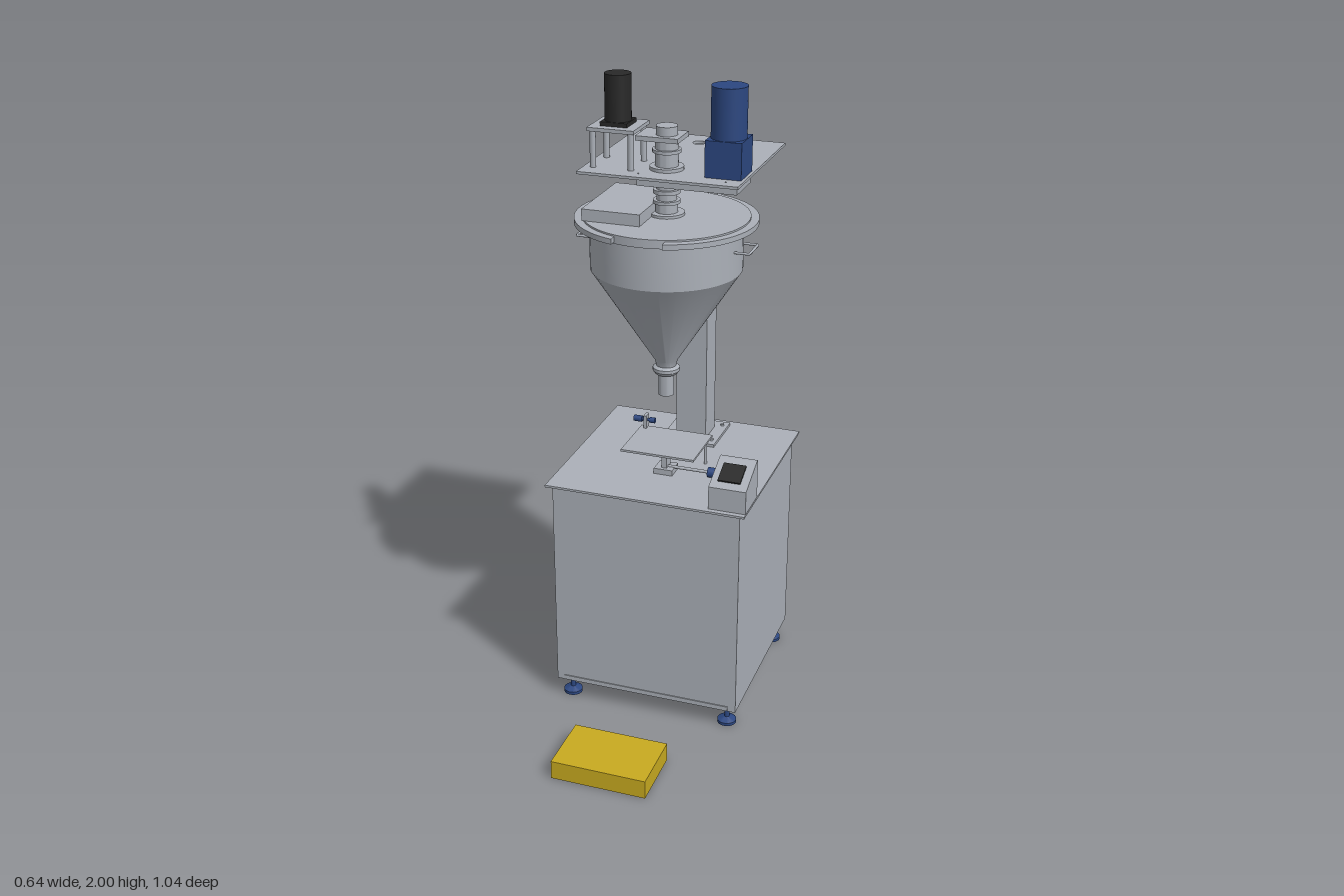
import * as THREE from 'three';
import { toCreasedNormals } from 'three/addons/utils/BufferGeometryUtils.js';

export function createModel() {
  const root = new THREE.Group();
  root.name = 'fillingMachine';
  const mat = (name, color) => {
    const m = new THREE.MeshStandardMaterial({ color });
    m.name = name;
    return m;
  };
  const steel = mat('steel', 0xabb0b8);
  const blue = mat('blue', 0x2c4780);
  const black = mat('black', 0x282828);
  const yellow = mat('yellow', 0xc8aa20);

  const add = (name, geo, m, x = 0, y = 0, z = 0) => {
    const mesh = new THREE.Mesh(geo, m);
    mesh.name = name;
    mesh.position.set(x, y, z);
    root.add(mesh);
    return mesh;
  };
  // Box from its min and max on each axis
  const box = (name, m, x0, x1, y0, y1, z0, z1) =>
    add(name, new THREE.BoxGeometry(x1 - x0, y1 - y0, z1 - z0), m, (x0 + x1) / 2, (y0 + y1) / 2, (z0 + z1) / 2);
  // Upright cylinder from y0 to y1
  const cyl = (name, m, x, z, r, y0, y1, seg = 32) =>
    add(name, new THREE.CylinderGeometry(r, r, y1 - y0, seg), m, x, (y0 + y1) / 2, z);
  // Cylinder along x
  const rodX = (name, m, x0, x1, y, z, r) => {
    const c = add(name, new THREE.CylinderGeometry(r, r, x1 - x0, 20), m, (x0 + x1) / 2, y, z);
    c.rotation.z = Math.PI / 2;
    return c;
  };
  const lathe = (name, m, pts, x, z) => add(name, toCreasedNormals(
    new THREE.LatheGeometry(pts.map(p => new THREE.Vector2(...p)), 56), 0.4), m, x, 0, z);

  // Cabinet with its worktop and front folds
  box('cabinet', steel, -0.3, 0.3, 0.063, 0.76, -0.498, 0.1);
  box('worktop', steel, -0.318, 0.318, 0.76, 0.767, -0.52, 0.117);
  box('doorTopFold', steel, -0.275, 0.275, 0.733, 0.76, 0.1, 0.103);
  box('doorBottomFold', steel, -0.275, 0.275, 0.065, 0.08, 0.1, 0.103);

  // Levelling feet
  for (const x of [-0.262, 0.262]) for (const z of [0.062, -0.458]) {
    lathe('foot', blue, [[0, 0], [0.03, 0], [0.03, 0.01], [0.012, 0.018], [0.008, 0.02], [0.008, 0.054],
      [0.016, 0.054], [0.016, 0.063], [0, 0.063]], x, z);
  }

  // Foot pedal
  box('pedal', yellow, -0.15, 0.15, 0, 0.06, 0.32, 0.52);

  // Column with bolted flanges
  box('column', steel, -0.05, 0.05, 0.767, 1.727, -0.445, -0.348);
  box('columnBase', steel, -0.09, 0.09, 0.767, 0.776, -0.49, -0.31);
  box('columnTopFlange', steel, -0.09, 0.09, 1.716, 1.727, -0.49, -0.31);
  for (const x of [-0.06, 0.06]) for (const z of [-0.462, -0.342]) {
    cyl('baseBolt', steel, x * 1.2, z, 0.006, 0.776, 0.782, 12);
  }

  // Upper plate with drilled holes
  const plate = new THREE.Shape([[-0.236, -0.013], [0.247, -0.013], [0.247, 0.486], [-0.236, 0.486]]
    .map(p => new THREE.Vector2(...p)));
  const hole = (x, z, r) => plate.holes.push(new THREE.Path().absarc(x, -z, r, 0, Math.PI * 2, true));
  hole(0, -0.403, 0.02);
  for (const x of [-0.06, 0.06]) for (const z of [-0.462, -0.342]) hole(x, z, 0.006);
  for (const x of [-0.06, 0.2]) for (const z of [-0.18, -0.025]) hole(x, z, 0.003);
  const plateGeo = new THREE.ExtrudeGeometry(plate, { depth: 0.008, bevelEnabled: false, curveSegments: 12 });
  add('upperPlate', plateGeo.rotateX(-Math.PI / 2), steel, 0, 1.727, 0);

  // Drive housing below the plate
  box('driveHousing', steel, -0.07, 0.23, 1.696, 1.727, -0.17, -0.035);

  // Hopper: outlet tube, collar, cone and drum
  const cz = -0.1;
  lathe('hopper', steel, [[0, 1.03], [0.024, 1.03], [0.024, 1.098], [0.034, 1.1], [0.041, 1.11], [0.041, 1.12],
    [0.03, 1.126], [0.035, 1.145], [0.226, 1.44], [0.226, 1.575], [0, 1.575]], 0, cz);
  cyl('hopperLid', steel, 0, cz, 0.246, 1.574, 1.6, 64);

  // Clamp ring halves, open at front and back
  const gap = Math.asin(0.075 / 0.27), gapIn = Math.asin(0.075 / 0.235), h = Math.PI / 2;
  for (const s of [0, Math.PI]) {
    const ring = new THREE.Shape();
    ring.absarc(0, 0, 0.27, s - h + gap, s + h - gap, false);
    ring.absarc(0, 0, 0.235, s + h - gapIn, s - h + gapIn, true);
    const g = new THREE.ExtrudeGeometry(ring, { depth: 0.016, bevelEnabled: false, curveSegments: 32 });
    add('clampRing', toCreasedNormals(g.rotateX(-h), 0.4), steel, 0, 1.579, cz);
  }

  // Hopper side handles
  for (const s of [-1, 1]) {
    const path = new THREE.CurvePath();
    const p = [[0.2, -0.145], [0.265, -0.145], [0.265, -0.055], [0.2, -0.055]]
      .map(([x, z]) => new THREE.Vector3(s * x, 1.52, z));
    for (let i = 0; i < 3; i++) path.add(new THREE.LineCurve3(p[i], p[i + 1]));
    add('hopperHandle', new THREE.TubeGeometry(path, 48, 0.004, 8), steel);
  }

  // Inlet box on the lid
  box('inletBox', steel, -0.21, -0.033, 1.6, 1.635, -0.24, 0.043);

  // Shaft coupling between lid and plate
  lathe('shaftCoupling', steel, [[0, 1.6], [0.053, 1.6], [0.053, 1.608], [0.033, 1.608], [0.033, 1.635], [0.04, 1.635],
    [0.04, 1.645], [0.03, 1.645], [0.03, 1.665], [0.04, 1.665], [0.04, 1.677], [0.03, 1.677], [0.03, 1.696], [0, 1.696]], 0, cz);

  // Bearing tower above the plate
  lathe('bearingTower', steel, [[0, 1.735], [0.05, 1.735], [0.05, 1.745], [0.034, 1.745], [0.034, 1.785],
    [0.042, 1.785], [0.042, 1.795], [0.034, 1.795], [0.034, 1.822], [0, 1.822]], 0, cz);
  box('bearingArm', steel, -0.08, 0.048, 1.822, 1.836, -0.153, -0.053);
  cyl('bearingCap', steel, 0, cz, 0.032, 1.836, 1.862);

  // Small motor on its four-post stand
  box('motorStandPlate', steel, -0.22, -0.078, 1.842, 1.853, -0.172, -0.034);
  for (const x of [-0.207, -0.091]) for (const z of [-0.158, -0.048]) {
    cyl('motorStandPost', steel, x, z, 0.009, 1.735, 1.842, 16);
  }
  box('smallMotorBase', black, -0.19, -0.108, 1.853, 1.865, -0.143, -0.062);
  cyl('smallMotor', black, -0.149, -0.103, 0.039, 1.865, 2.0);

  // Large motor and gearbox
  box('gearbox', blue, 0.13, 0.238, 1.735, 1.842, -0.157, -0.047);
  cyl('largeMotor', blue, 0.184, -0.102, 0.052, 1.842, 1.99);

  // Control box with a sloping face
  const side = new THREE.Shape([[-0.1, 0.767], [0.023, 0.767], [0.023, 0.89], [0.012, 0.89], [-0.1, 0.84]]
    .map(p => new THREE.Vector2(...p)));
  const boxGeo = new THREE.ExtrudeGeometry(side, { depth: 0.116, bevelEnabled: false });
  add('controlBox', boxGeo.rotateY(h), steel, 0.201, 0, 0);
  const screen = add('screen', new THREE.BoxGeometry(0.07, 0.009, 0.07), black, 0.257, 0.866, 0.044);
  screen.rotation.x = Math.atan2(0.05, 0.112);

  // Container stand with its posts
  box('standPlate', steel, -0.12, 0.115, 0.851, 0.858, -0.212, -0.02);
  box('standBar', steel, -0.008, 0.008, 0.767, 0.851, -0.118, -0.082);
  box('standFoot', steel, -0.03, 0.03, 0.767, 0.785, -0.13, -0.07);
  cyl('standPost', steel, 0.1, -0.19, 0.005, 0.767, 0.851, 12);
  box('stopBlock', steel, -0.107, -0.097, 0.858, 0.9, -0.218, -0.19);

  // Clamping knobs
  rodX('stopScrew', blue, -0.14, -0.072, 0.883, -0.204, 0.005);
  rodX('stopKnob', blue, -0.142, -0.115, 0.883, -0.204, 0.01);
  rodX('stopNut', blue, -0.09, -0.072, 0.883, -0.204, 0.009);
  rodX('heightScrew', steel, 0.008, 0.14, 0.785, cz, 0.005);
  rodX('heightKnob', blue, 0.138, 0.175, 0.785, cz, 0.016);
  rodX('heightKnobEnd', blue, 0.175, 0.2, 0.785, cz, 0.01);

  return root;
}
